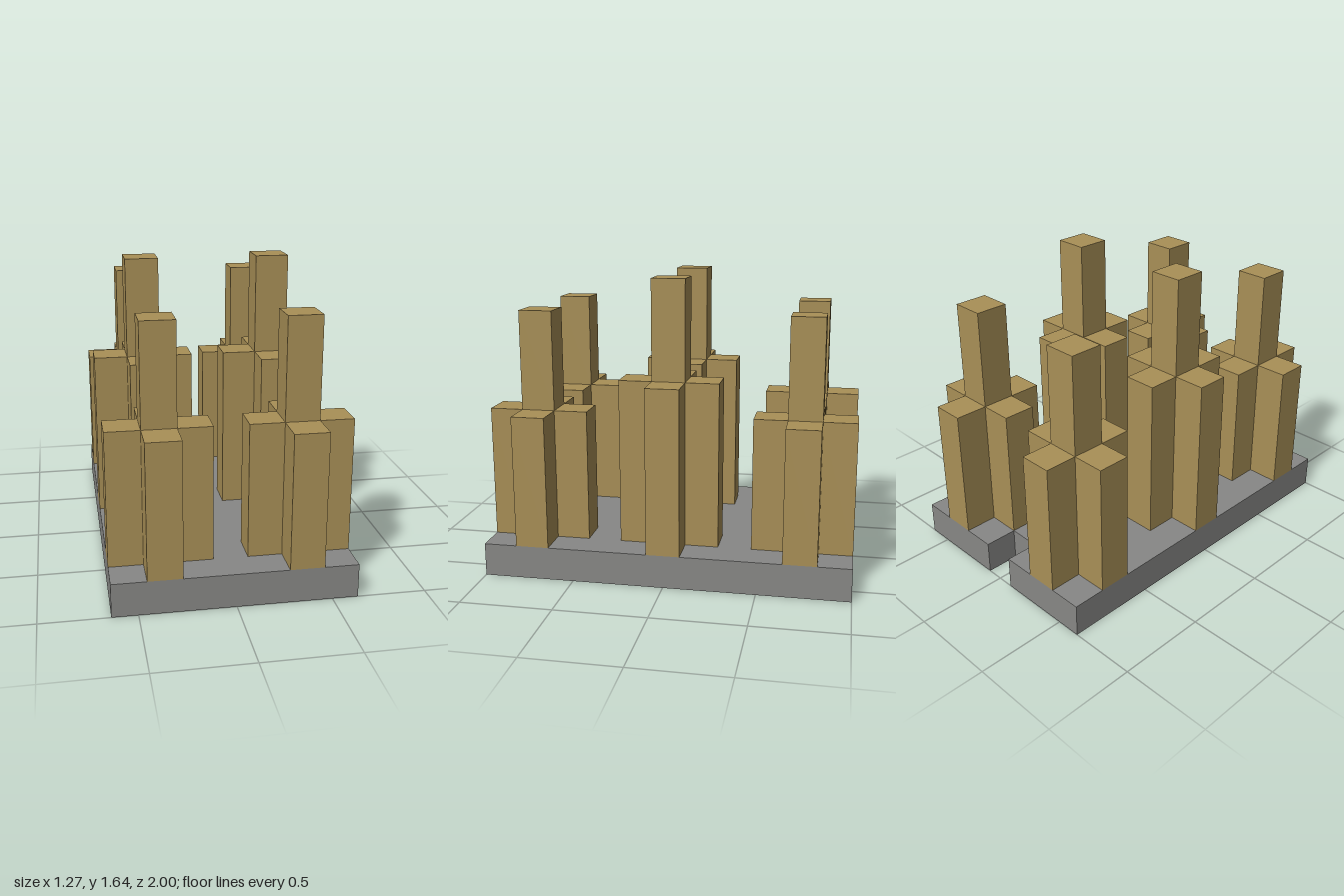
import * as THREE from 'three';

const U = 2 / 11; // grid unit: the base is 7 x 11 units

const stone = new THREE.MeshStandardMaterial({ color: 0x888886 });
stone.name = 'greyStone';
const tan = new THREE.MeshStandardMaterial({ color: 0xa99057 });
tan.name = 'tan';

// Extrude a plan outline of [x, z] points upward from y0 to y1 (all in units)
function prism(name, outline, y0, y1, material) {
  const shape = new THREE.Shape(outline.map(([x, z]) => new THREE.Vector2(x * U, -z * U)));
  const geometry = new THREE.ExtrudeGeometry(shape, { depth: (y1 - y0) * U, bevelEnabled: false });
  geometry.rotateX(-Math.PI / 2);
  geometry.translate(0, y0 * U, 0);
  const mesh = new THREE.Mesh(geometry, material);
  mesh.name = name;
  return mesh;
}

// Cross-shaped body with a square spire rising from its centre
function makeTower(bodyTop, spireTop) {
  const a = 0.5, b = 1.5;
  const cross = [
    [-a, b], [a, b], [a, a], [b, a], [b, -a], [a, -a],
    [a, -b], [-a, -b], [-a, -a], [-b, -a], [-b, a], [-a, a],
  ];
  const square = [[-a, a], [a, a], [a, -a], [-a, -a]];
  const tower = new THREE.Group();
  tower.add(prism('towerBody', cross, 1, bodyTop, tan));
  tower.add(prism('towerSpire', square, bodyTop, spireTop, tan));
  return tower;
}

export function createModel() {
  const model = new THREE.Group();
  model.name = 'towerBlock';

  // Base slab with a square notch in the middle of its back edge
  const plan = [
    [-3.5, 5.5], [3.5, 5.5], [3.5, -5.5], [0.5, -5.5],
    [0.5, -4.5], [-0.5, -4.5], [-0.5, -5.5], [-3.5, -5.5],
  ];
  model.add(prism('base', plan, 0, 1, stone));

  // Two rows of three towers, the middle pair one unit taller
  for (const [row, z] of [['front', 4], ['middle', 0], ['back', -4]]) {
    for (const [side, x] of [['Left', 2], ['Right', -2]]) {
      const extra = z === 0 ? 1 : 0;
      const tower = makeTower(5 + extra, 8 + extra);
      tower.name = `${row}${side}Tower`;
      tower.position.set(x * U, 0, z * U);
      model.add(tower);
    }
  }
  return model;
}
